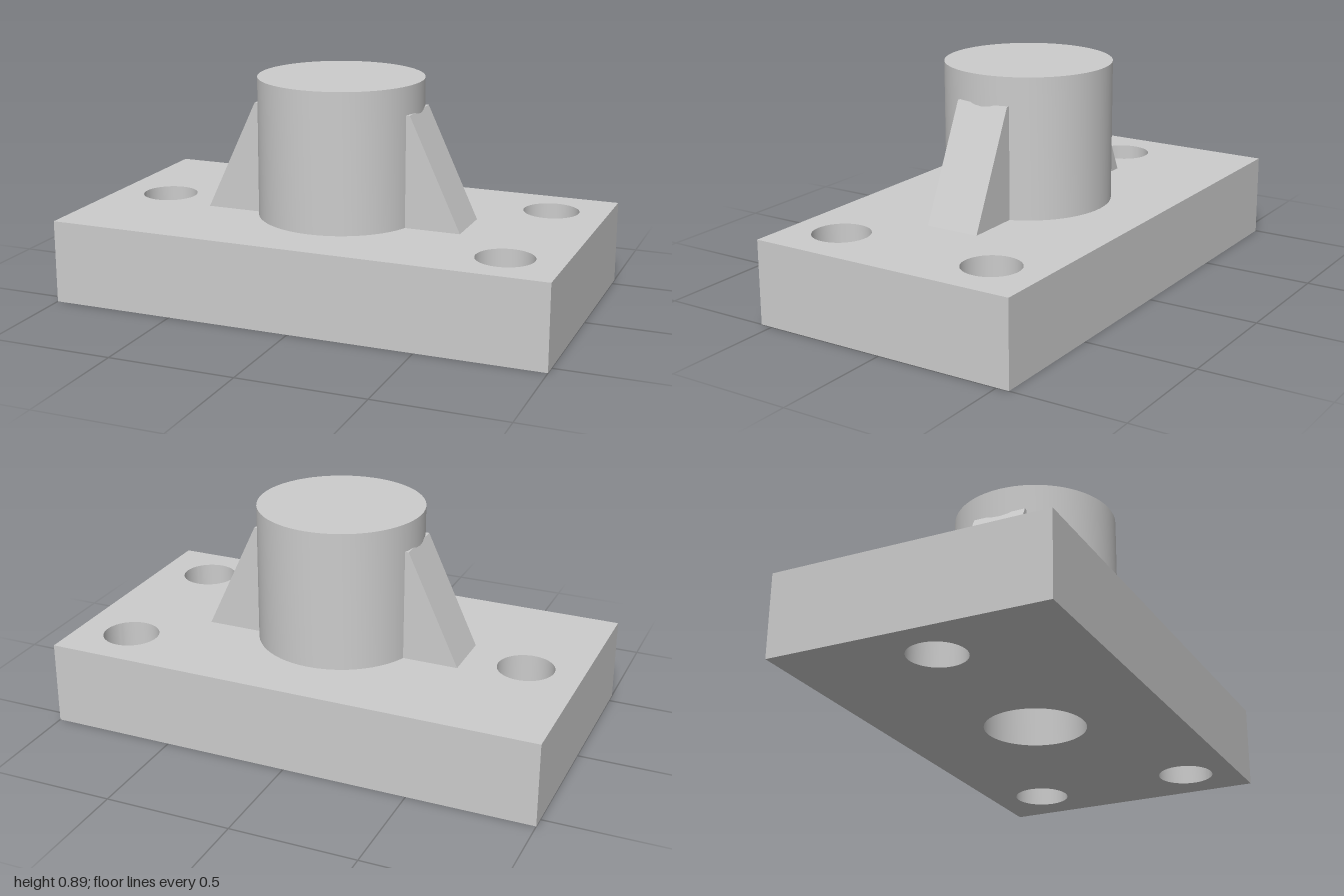
import * as THREE from 'three';
import { toCreasedNormals } from 'three/addons/utils/BufferGeometryUtils.js';

const PLATE_H = 0.333;
const TOP = 0.89;
const BOSS_R = 0.33;
const BORE_R = 0.2;
const BORE_TOP = 0.78;
const CENTRE_Z = 0.008;

export function createModel() {
  const group = new THREE.Group();
  const material = new THREE.MeshStandardMaterial({ color: 0xcccccc });

  const add = (name, geometry, crease = 0.6) => {
    const mesh = new THREE.Mesh(toCreasedNormals(geometry, crease), material);
    mesh.name = name;
    group.add(mesh);
    return mesh;
  };
  const lathe = (points) =>
    new THREE.LatheGeometry(points.map(([r, y]) => new THREE.Vector2(r, y)), 64);

  // Base plate with three bolt holes and the central bore
  const plate = new THREE.Shape();
  plate.moveTo(-1, -0.55).lineTo(1, -0.55).lineTo(1, 0.55).lineTo(-1, 0.55).closePath();
  const holes = [
    [-0.775, 0.005, 0.112],
    [0.775, -0.332, 0.112],
    [0.775, 0.338, 0.112],
    [0, CENTRE_Z, BORE_R],
  ];
  for (const [x, z, r] of holes) {
    plate.holes.push(new THREE.Path().absarc(x, -z, r, 0, Math.PI * 2, true));
  }
  const plateGeometry = new THREE.ExtrudeGeometry(plate, {
    depth: PLATE_H, bevelEnabled: false, curveSegments: 32,
  });
  plateGeometry.rotateX(-Math.PI / 2);
  add('basePlate', plateGeometry);

  // Closed-top boss
  add('boss', lathe([[BOSS_R, PLATE_H], [BOSS_R, TOP], [0, TOP]])).position.z = CENTRE_Z;

  // Blind bore rising from the underside into the boss
  add('bore', lathe([[0, BORE_TOP], [BORE_R, BORE_TOP], [BORE_R, PLATE_H]])).position.z = CENTRE_Z;

  // Sloping gusset ribs on both sides of the boss
  const width = 0.222;
  for (const [name, side] of [['leftRib', 1], ['rightRib', -1]]) {
    const rib = new THREE.Shape();
    rib.moveTo(side * 0.29, PLATE_H);
    rib.lineTo(side * 0.533, PLATE_H);
    rib.lineTo(side * 0.325, 0.778);
    rib.lineTo(side * 0.29, 0.778);
    rib.closePath();
    const geometry = new THREE.ExtrudeGeometry(rib, { depth: width, bevelEnabled: false });
    geometry.translate(0, 0, CENTRE_Z - width / 2);
    add(name, geometry, 0.2);
  }

  return group;
}
